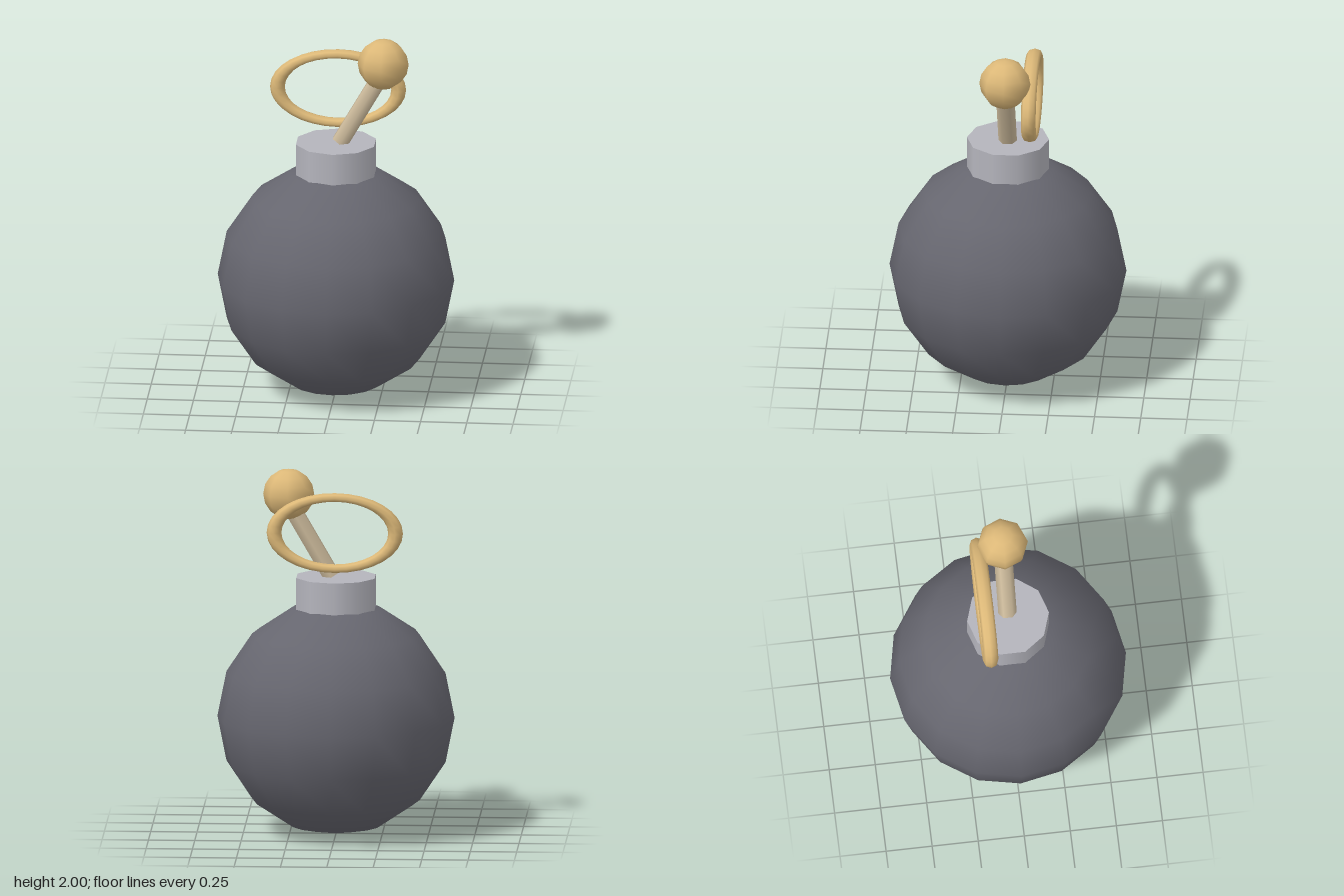
import * as THREE from 'three';

const flat = (name, color) => {
  const m = new THREE.MeshStandardMaterial({ color });
  m.name = name;
  return m;
};

export function createModel() {
  const group = new THREE.Group();
  const charcoal = flat('charcoal', 0x66666f);
  const silver = flat('silver', 0xb4b4bc);
  const gold = flat('gold', 0xdcb878);
  const tan = flat('tan', 0xcdbb9c);

  const add = (name, geometry, material, x, y, z) => {
    const mesh = new THREE.Mesh(geometry, material);
    mesh.name = name;
    mesh.position.set(x, y, z);
    group.add(mesh);
    return mesh;
  };

  // Round body and the collar sunk into its top
  add('body', new THREE.SphereGeometry(0.64, 16, 8), charcoal, 0, 0.642, 0);
  add('collar', new THREE.CylinderGeometry(0.222, 0.222, 0.21, 10), silver, 0, 1.307, 0);

  // Hexagonal stem leaning 30 degrees to the model's left, its base at the origin
  const stemShape = new THREE.CylinderGeometry(0.05, 0.05, 0.46, 6).translate(0, 0.23, 0);
  const stem = add('stem', stemShape, tan, 0.023, 1.413, 0);
  stem.rotation.z = -Math.PI / 6;

  // Ball on the end of the stem
  add('knob', new THREE.SphereGeometry(0.138, 8, 8), gold, 0.255, 1.861, 0);

  // Flattened pull ring behind the stem
  const ring = add('ring', new THREE.TorusGeometry(0.328, 0.04, 8, 32), gold, 0, 1.673, -0.131);
  ring.scale.y = 0.595;

  return group;
}
